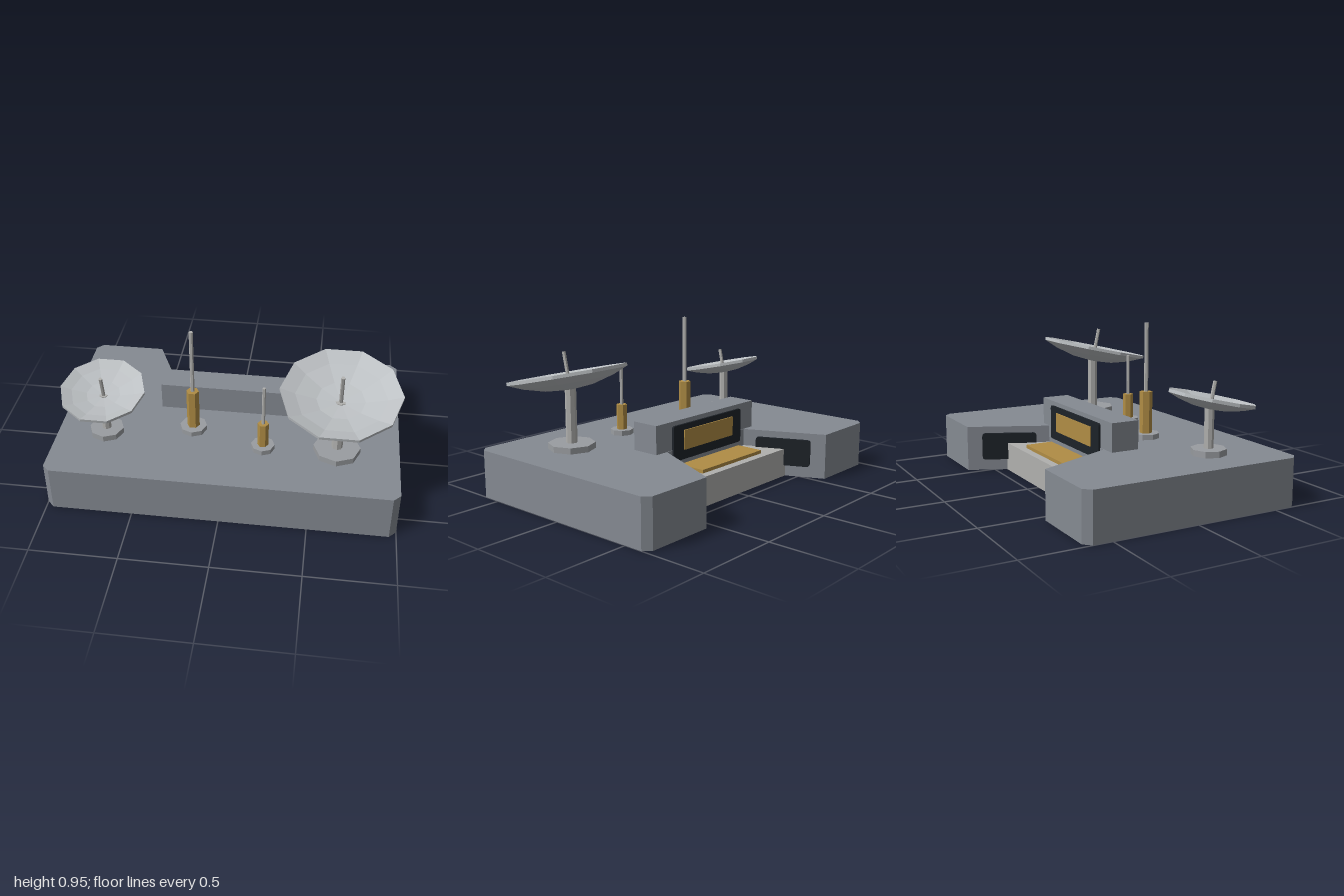
import * as THREE from 'three';

const mat = (color, side = THREE.FrontSide) =>
  new THREE.MeshStandardMaterial({ color, flatShading: true, side });
const hull = mat(0x858a92);
const pale = mat(0xb0b0ae);
const steel = mat(0x9a9da1);
const gold = mat(0xb08d45);
const dark = mat(0x1d2228);
const dishMat = mat(0xbcc0c3, THREE.DoubleSide);

function add(parent, name, geometry, material, x = 0, y = 0, z = 0) {
  const mesh = new THREE.Mesh(geometry, material);
  mesh.name = name;
  mesh.position.set(x, y, z);
  parent.add(mesh);
  return mesh;
}

// Upright prism standing on y = 0, with a corner on the x axis
function prism(r, h, sides) {
  return new THREE.CylinderGeometry(r, r, h, sides).rotateY(Math.PI / 2).translate(0, h / 2, 0);
}

// Plan outline of [x, z] points raised to height h
function slab(points, h) {
  const shape = new THREE.Shape(points.map(([x, z]) => new THREE.Vector2(x, -z)));
  return new THREE.ExtrudeGeometry(shape, { depth: h, bevelEnabled: false }).rotateX(-Math.PI / 2);
}

// Thin upright plate with clipped corners, facing +z
function plate(w, h, depth, c) {
  const a = w / 2, b = h / 2;
  const shape = new THREE.Shape();
  shape.moveTo(-a + c, -b);
  shape.lineTo(a - c, -b);
  shape.quadraticCurveTo(a, -b, a, -b + c);
  shape.lineTo(a, b - c);
  shape.quadraticCurveTo(a, b, a - c, b);
  shape.lineTo(-a + c, b);
  shape.quadraticCurveTo(-a, b, -a, b - c);
  shape.lineTo(-a, -b + c);
  shape.quadraticCurveTo(-a, -b, -a + c, -b);
  return new THREE.ExtrudeGeometry(shape, { depth, bevelEnabled: false, curveSegments: 3 });
}

// Tilted ten-sided dish on a post; y is the top of the post
function dish(name, x, y, z, r, footR, postR) {
  const g = new THREE.Group();
  g.name = name;
  g.position.set(x, 0, z);
  add(g, 'dishFoot', prism(footR, 0.035, 8), steel, 0, 0.275, 0);
  add(g, 'dishPost', prism(postR, y - 0.29, 8), pale, 0, 0.31, 0);

  const head = new THREE.Group();
  head.name = 'dishHead';
  head.position.y = y;
  head.rotation.x = 0.22;
  const depth = 0.29 * r, t = 0.018;
  const rings = [0, 0.4, 0.75, 1];
  const outer = rings.map(k => new THREE.Vector2(k * r, (depth - t) * k * k));
  const inner = rings.map(k => new THREE.Vector2(k * r, (depth - t) * k * k + t)).reverse();
  add(head, 'dishBowl', new THREE.LatheGeometry([...outer, ...inner], 10).rotateY(Math.PI / 2), dishMat);
  add(head, 'dishFeed', prism(0.011, depth + 0.35 * r - 0.01, 6), pale, 0, 0.01, 0);
  g.add(head);
  return g;
}

// Whip antenna: foot, six-sided sleeve and thin rod
function antenna(name, x, z, footR, sleeveR, sleeveTop, rodR, rodTop) {
  const g = new THREE.Group();
  g.name = name;
  g.position.set(x, 0, z);
  add(g, 'antennaFoot', prism(footR, 0.03, 8), steel, 0, 0.275, 0);
  add(g, 'antennaSleeve', prism(sleeveR, sleeveTop - 0.305, 6), gold, 0, 0.305, 0);
  add(g, 'antennaRod', prism(rodR, rodTop - sleeveTop, 6), pale, 0, sleeveTop, 0);
  return g;
}

export function createModel() {
  const model = new THREE.Group();
  model.name = 'antennaPlatform';

  // Base with clipped corners and a tapering notch at the back
  const half = [[0.35, -0.19], [0.56, -0.65], [0.96, -0.65], [1, -0.61], [1, 0.61], [0.96, 0.65]];
  const mirrored = half.map(([x, z]) => [-x, z]).reverse();
  add(model, 'base', slab([...half, ...mirrored].reverse(), 0.275), hull);

  // Step filling the inner part of the notch
  add(model, 'step', slab([[-0.35, -0.19], [0.35, -0.19], [0.46, -0.43], [-0.46, -0.43]].reverse(), 0.172), pale);
  add(model, 'stepMat', new THREE.BoxGeometry(0.54, 0.02, 0.17), gold, 0, 0.182, -0.297);

  // Console above the notch, with its rear screen
  add(model, 'console', new THREE.BoxGeometry(0.87, 0.268, 0.168), hull, 0, 0.306, -0.102);
  const screen = add(model, 'screenFrame', plate(0.61, 0.205, 0.02, 0.015), dark, 0, 0.311, -0.179);
  const glow = add(model, 'screen', plate(0.44, 0.115, 0.015, 0.002), gold, 0, 0.322, -0.191);
  screen.rotation.y = glow.rotation.y = Math.PI;

  // Dark panels on both slanted notch walls
  for (const s of [1, -1]) {
    const panel = add(model, s > 0 ? 'leftWallPanel' : 'rightWallPanel',
      plate(0.335, 0.165, 0.022, 0.02), dark, s * 0.457, 0.152, -0.413);
    panel.rotation.y = Math.atan2(-s * 0.909, -0.415);
  }

  // Rooftop equipment
  model.add(dish('largeDish', 0.64, 0.612, 0.275, 0.34, 0.135, 0.032));
  model.add(dish('smallDish', -0.713, 0.523, 0.26, 0.245, 0.1, 0.027));
  model.add(antenna('tallAntenna', -0.21, 0.17, 0.08, 0.037, 0.55, 0.012, 0.95));
  model.add(antenna('shortAntenna', 0.215, 0.3, 0.068, 0.032, 0.455, 0.01, 0.7));

  return model;
}
